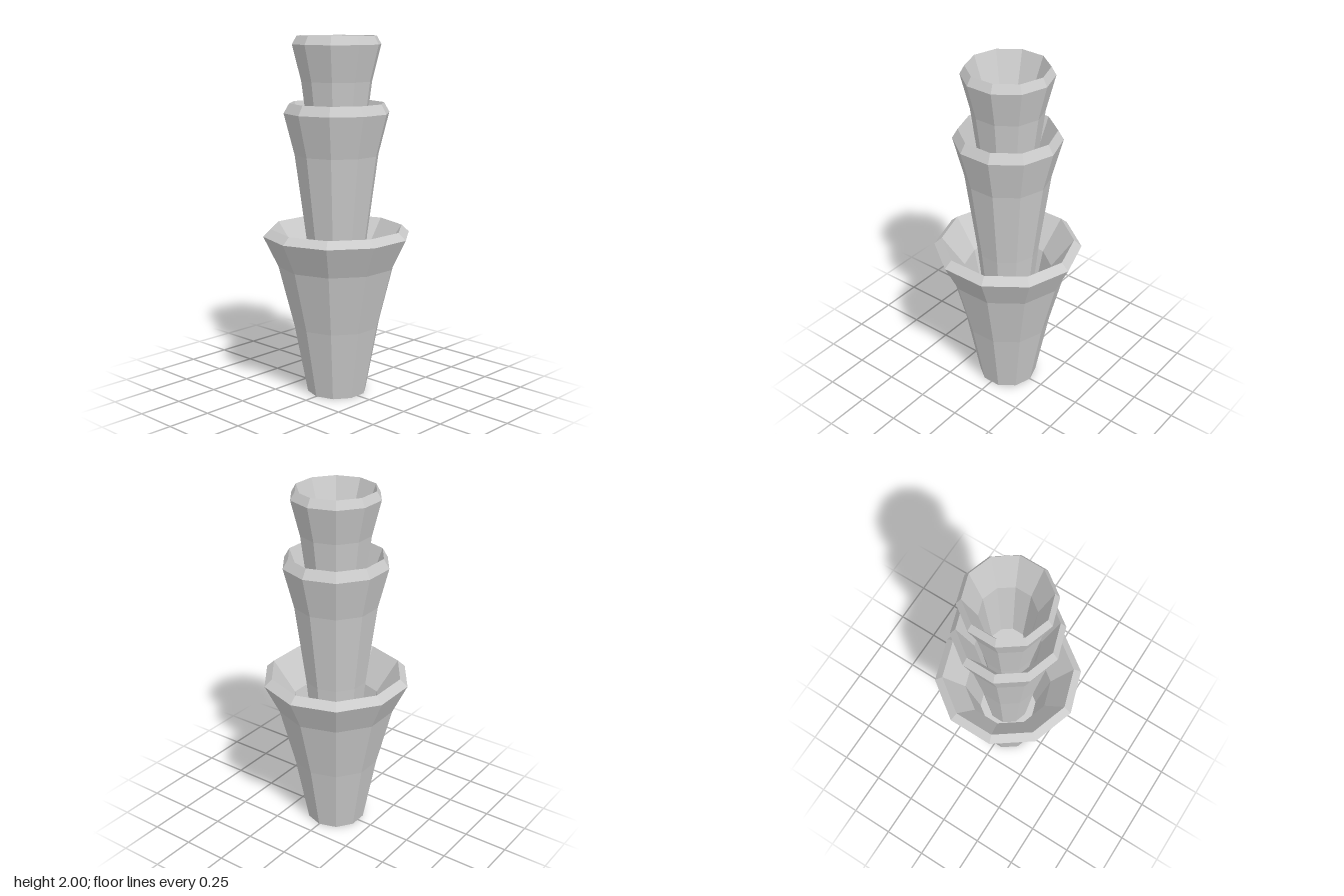
import * as THREE from 'three';

// Closed cup profile: base, flared outer wall, bevelled rim, inner wall, floor
const PROFILE = [
  [0, 0], [0.168, 0], [0.243, 0.395], [0.33, 0.738], [0.413, 0.91],
  [0.37, 0.95], [0.246, 0.77], [0.168, 0.4], [0, 0.4],
];
const RIM = 0.95;
const SIDES = 10;

// name, radial scale, vertical scale, height of the rim
const TIERS = [
  ['lowerCup', 1, 1, 0.95],
  ['middleCup', 0.71, 1.33, 1.64],
  ['upperCup', 0.593, 1.14, 2],
];

export function createModel() {
  const group = new THREE.Group();
  group.name = 'nestedCups';
  const material = new THREE.MeshStandardMaterial({ color: 0xcccccc, flatShading: true });

  // Each tier is the same ten-sided cup, scaled and set inside the one below
  for (const [name, radial, vertical, top] of TIERS) {
    const points = PROFILE.map(([r, y]) =>
      new THREE.Vector2(r * radial, top + (y - RIM) * vertical));
    const cup = new THREE.Mesh(
      new THREE.LatheGeometry(points, SIDES, Math.PI / 2), material);
    cup.name = name;
    group.add(cup);
  }
  return group;
}
